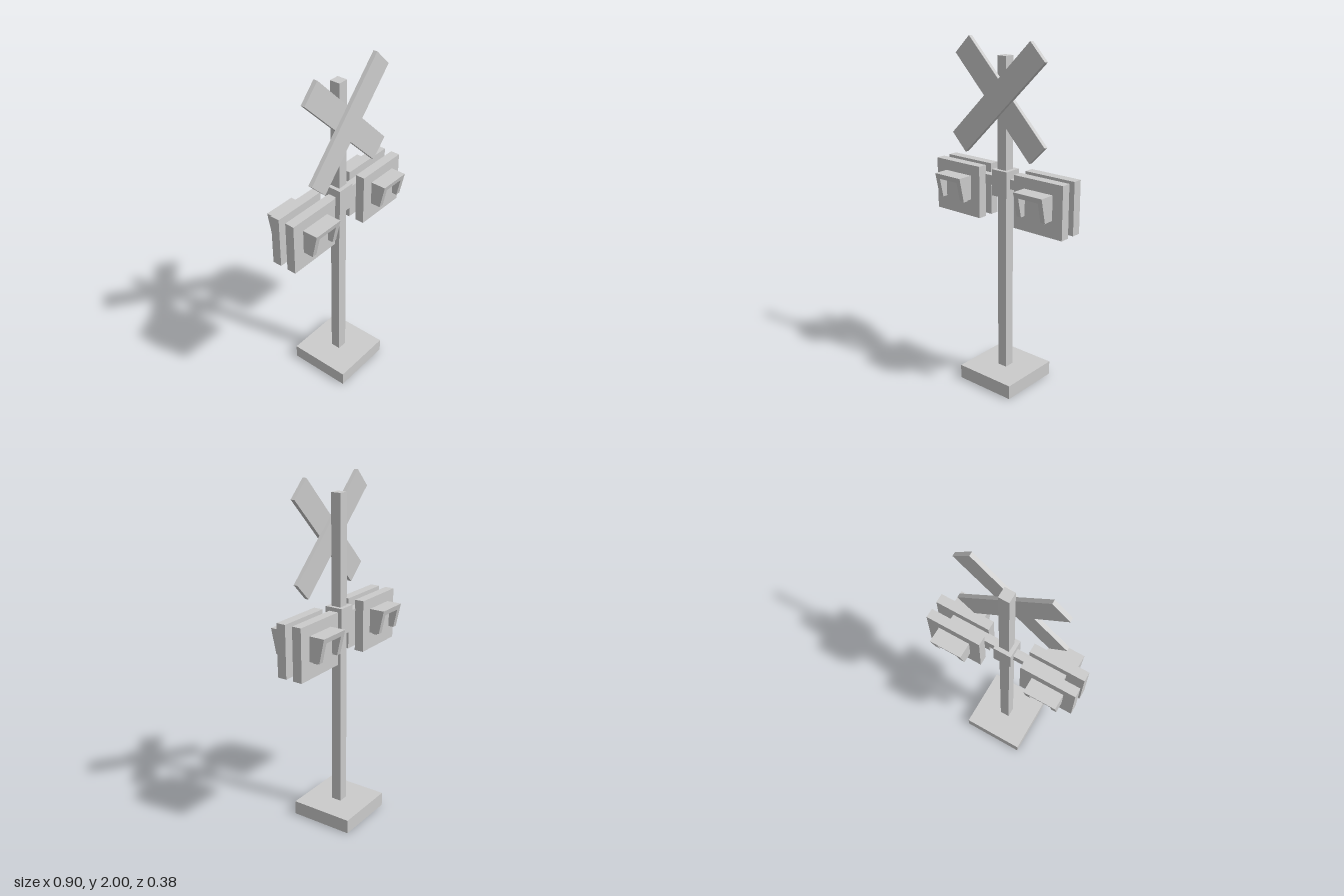
import * as THREE from 'three';

const material = new THREE.MeshStandardMaterial({ color: 0xcccccc, flatShading: true });

function addMesh(parent, name, geometry, x, y, z) {
  const mesh = new THREE.Mesh(geometry, material);
  mesh.name = name;
  mesh.position.set(x, y, z);
  parent.add(mesh);
  return mesh;
}

function addBox(parent, name, w, h, d, x, y, z) {
  return addMesh(parent, name, new THREE.BoxGeometry(w, h, d), x, y, z);
}

// Three-sided visor, open below, whose front edge leans back toward the bottom
function hoodGeometry() {
  const w = 0.095, i = 0.065, top = 0.07, under = 0.04, bottom = -0.07;
  const shape = new THREE.Shape([
    [-w, bottom], [-i, bottom], [-i, under], [i, under],
    [i, bottom], [w, bottom], [w, top], [-w, top],
  ].map(([x, y]) => new THREE.Vector2(x, y)));
  const geometry = new THREE.ExtrudeGeometry(shape, { depth: 0.092, bevelEnabled: false });
  const p = geometry.attributes.position;
  for (let k = 0; k < p.count; k++) {
    if (p.getZ(k) > 0.01) p.setZ(k, 0.092 - (top - p.getY(k)) * 0.22);
  }
  geometry.computeVertexNormals();
  return geometry;
}

export function createModel() {
  const model = new THREE.Group();
  model.name = 'crossingSignal';

  // Base, post and cross arm
  addBox(model, 'base', 0.376, 0.083, 0.376, 0, 0.0415, 0);
  addBox(model, 'post', 0.06, 1.827, 0.06, 0, 0.9965, 0);
  addBox(model, 'armBracket', 0.106, 0.15, 0.106, 0, 1.217, 0);
  addBox(model, 'crossArm', 0.696, 0.055, 0.048, 0, 1.218, 0);

  // Signal lights: a pair facing forward and a pair facing back
  const hood = hoodGeometry();
  for (const facing of ['front', 'back']) {
    const pair = new THREE.Group();
    pair.name = facing + 'Lights';
    if (facing === 'back') pair.rotation.y = Math.PI;
    for (const side of [-1, 1]) {
      const light = new THREE.Group();
      light.name = 'signalLight';
      addBox(light, 'backPlate', 0.326, 0.3, 0.055, side * 0.288, 1.147, 0.05);
      const x = side * 0.2875 + 0.003;
      addMesh(light, 'hood', hood, x, 1.165, 0.077);
      addBox(light, 'lens', 0.13, 0.128, 0.03, x, 1.141, 0.092);
      pair.add(light);
    }
    model.add(pair);
  }

  // Crossed boards, leaning slightly back at the top
  const cross = new THREE.Group();
  cross.name = 'crossedBoards';
  cross.position.set(0.003, 1.685, 0);
  cross.rotation.x = -0.03;
  addBox(cross, 'frontBoard', 0.755, 0.138, 0.024, 0, 0, 0.067).rotation.z = Math.PI / 4;
  addBox(cross, 'rearBoard', 0.755, 0.138, 0.024, 0, 0, 0.046).rotation.z = -Math.PI / 4;
  model.add(cross);

  return model;
}
